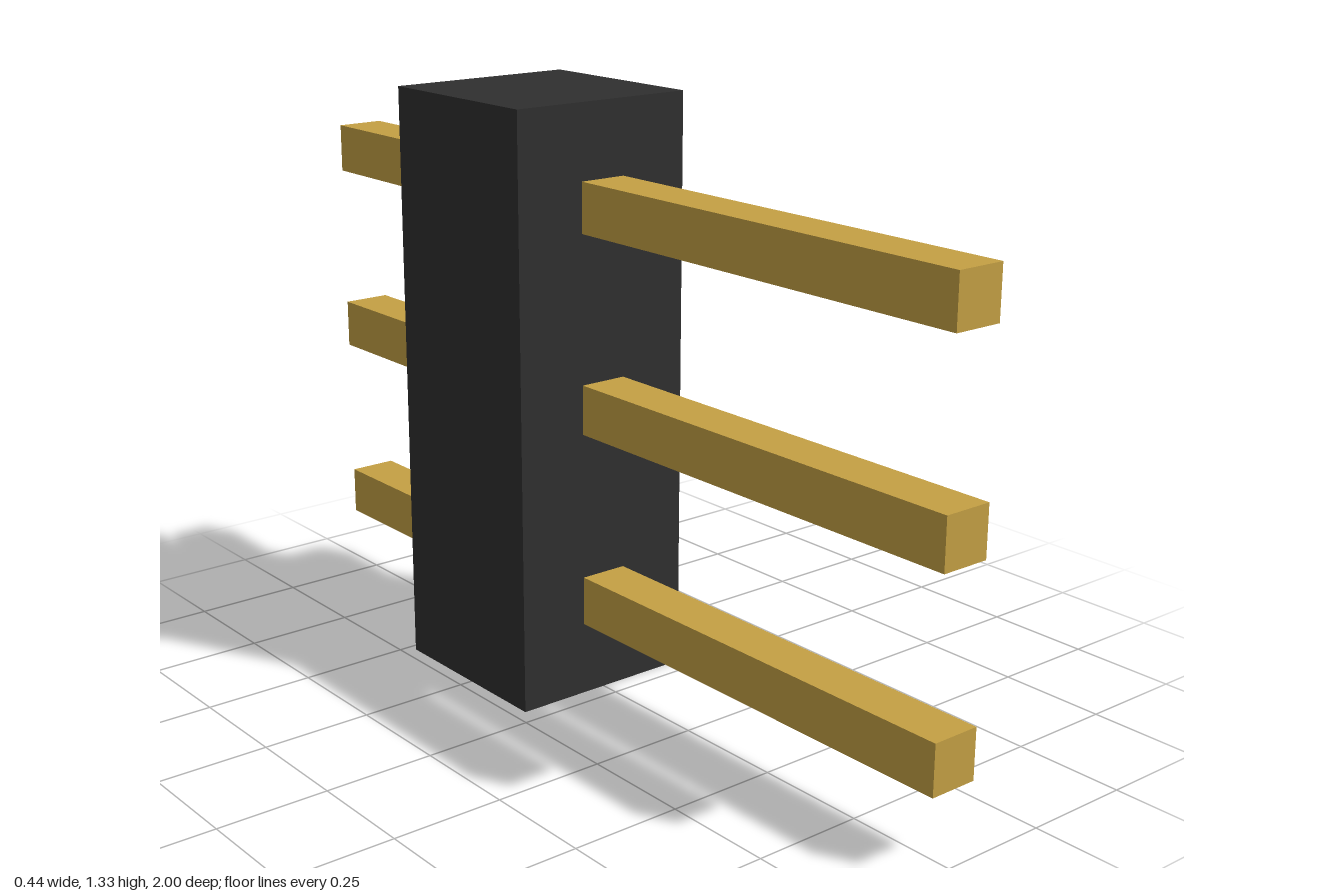
import * as THREE from 'three';

export function createModel() {
  const model = new THREE.Group();
  model.name = 'pinHeader';

  const blackPlastic = new THREE.MeshStandardMaterial({ color: 0x2f2f2f });
  blackPlastic.name = 'blackPlastic';
  const goldMetal = new THREE.MeshStandardMaterial({ color: 0xc4a044 });
  goldMetal.name = 'goldMetal';

  const pitch = 0.442;
  const pinCount = 3;
  const pinWidth = 0.111;

  // Upright insulating block, set towards the back of the pins
  const height = pitch * pinCount;
  const housing = new THREE.Mesh(new THREE.BoxGeometry(0.44, height, 0.436), blackPlastic);
  housing.name = 'housing';
  housing.position.set(0, height / 2, -0.261);
  model.add(housing);

  // Square pins running right through the block
  const pinGeometry = new THREE.BoxGeometry(pinWidth, pinWidth, 2);
  for (let i = 0; i < pinCount; i++) {
    const pin = new THREE.Mesh(pinGeometry, goldMetal);
    pin.name = `pin${i + 1}`;
    pin.position.y = pitch * (i + 0.5);
    model.add(pin);
  }

  return model;
}
